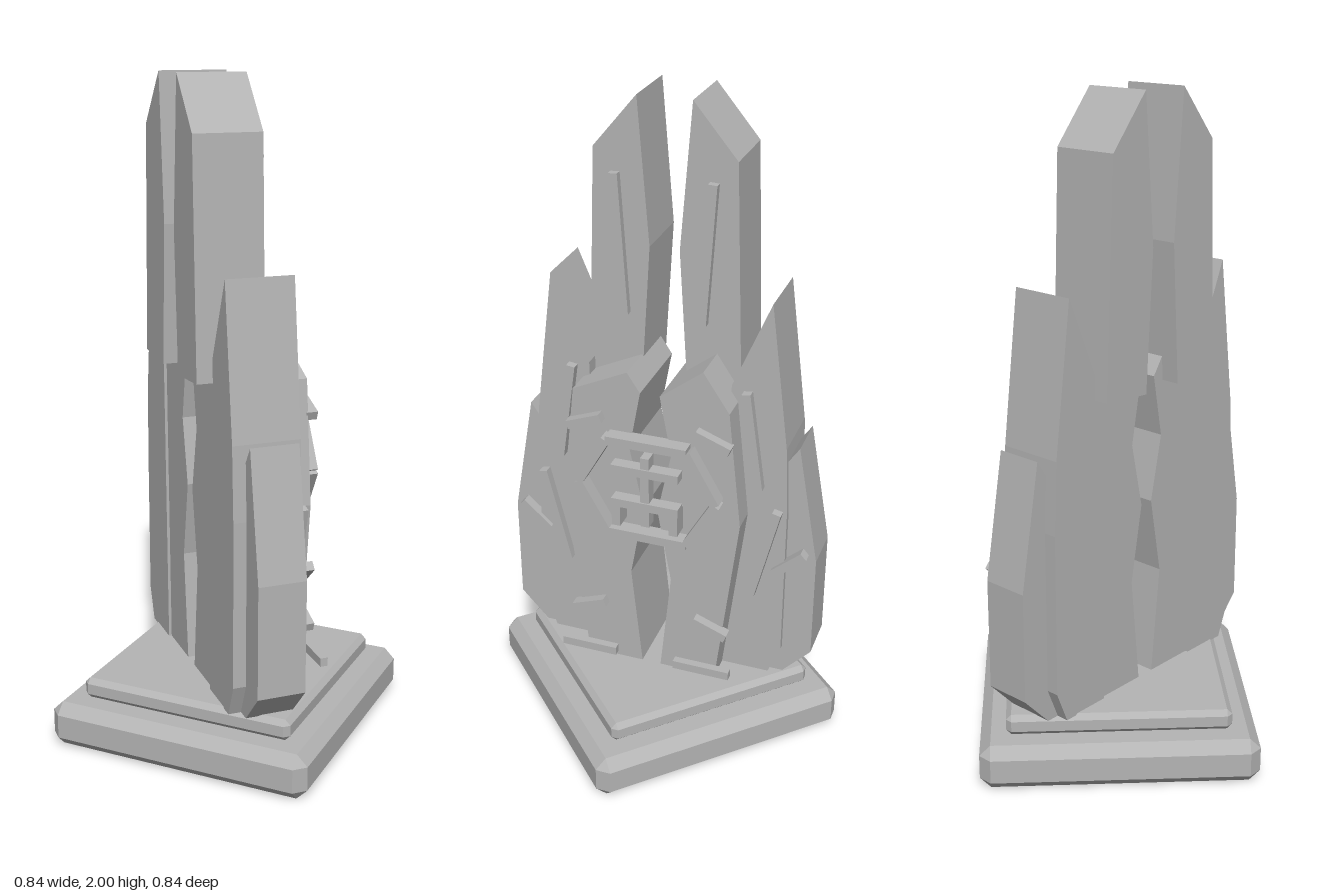
import * as THREE from 'three';
import { ConvexGeometry } from 'three/addons/geometries/ConvexGeometry.js';

const stone = new THREE.MeshStandardMaterial({ color: 0xb4b4b4 });
stone.name = 'grey stone';

function add(parent, name, geometry) {
  const mesh = new THREE.Mesh(geometry, stone);
  mesh.name = name;
  parent.add(mesh);
  return mesh;
}

// Box with every edge chamfered by c, standing from y0 to y1
function chamferedBlock(half, y0, y1, c) {
  const pts = [], hy = (y1 - y0) / 2, my = (y0 + y1) / 2;
  for (const sx of [-1, 1]) for (const sy of [-1, 1]) for (const sz of [-1, 1]) {
    for (let k = 0; k < 3; k++) {
      pts.push(new THREE.Vector3(
        sx * (half - (k === 0 ? 0 : c)),
        my + sy * (hy - (k === 1 ? 0 : c)),
        sz * (half - (k === 2 ? 0 : c))));
    }
  }
  return new ConvexGeometry(pts);
}

// Upright slab: outline in x,y, thickness from z0 to z1
function slab(points, z0, z1, side = 1) {
  const shape = new THREE.Shape(points.map(([x, y]) => new THREE.Vector2(side * x, y)));
  const geometry = new THREE.ExtrudeGeometry(shape, { depth: z1 - z0, bevelEnabled: false });
  return geometry.translate(0, 0, z0);
}

// Raised bar running between two points on the face
function bar(parent, name, a, b, z0, z1, width = 0.027) {
  const dx = b[0] - a[0], dy = b[1] - a[1];
  const mesh = add(parent, name, new THREE.BoxGeometry(Math.hypot(dx, dy), width, z1 - z0));
  mesh.position.set((a[0] + b[0]) / 2, (a[1] + b[1]) / 2, (z0 + z1) / 2);
  mesh.rotation.z = Math.atan2(dy, dx);
}

export function createModel() {
  const model = new THREE.Group();
  model.name = 'monument';

  // Stepped plinth
  add(model, 'lowerPlinth', chamferedBlock(0.417, 0, 0.14, 0.033));
  add(model, 'upperPlinth', chamferedBlock(0.338, 0.14, 0.205, 0.016));

  // Shards stand on the diagonal of the plinth
  const shards = new THREE.Group();
  shards.name = 'shards';
  shards.rotation.y = Math.PI * 0.75;
  model.add(shards);

  const tower = [[0.08, 2], [0.21, 1.845], [0.235, 1.16], [0.07, 1.15], [0.045, 1.57]];
  const middle = [[0.333, 1.47], [0.39, 1.02], [0.4, 0.8], [0.4, 0.3], [0.36, 0.2], [0.2, 0.2], [0.22, 1.2]];
  const outer = [[0.425, 1.02], [0.492, 0.64], [0.492, 0.3], [0.4, 0.2], [0.34, 0.2], [0.34, 0.9], [0.385, 0.96]];
  const inner = [[0.03, 0.2], [0.21, 0.2], [0.28, 0.78], [0.24, 1.15]];
  const innerGap = [[0.03, 1.17], [0.065, 0.98], [0.022, 0.78], [0.065, 0.54]];
  const crowns = { 1: [[0.16, 1.27]], '-1': [[0.07, 1.23]] };

  for (const s of [-1, 1]) {
    const side = s > 0 ? 'right' : 'left';
    add(shards, side + 'Tower', slab(tower, -0.187, 0.018, s));
    add(shards, side + 'MiddleShard', slab(middle, -0.139, 0.064, s));
    add(shards, side + 'OuterShard', slab(outer, -0.1, 0.045, s));
    add(shards, side + 'InnerShard', slab([...inner, ...crowns[s], ...innerGap], -0.13, 0.145, s));

    // Raised strips on each shard: start, end, back and front depth
    const strips = [
      ['towerStrip', [0.145, 1.78], [0.118, 1.36], 0.01, 0.04],
      ['middleStrip', [0.27, 1.19], [0.315, 0.88], 0.055, 0.09],
      ['lowerStrip', [0.375, 0.81], [0.3, 0.5], 0.06, 0.092],
      ['outerStrip', [0.46, 0.67], [0.37, 0.59], 0.04, 0.078],
      ['upperTab', [0.25, 1.04], [0.145, 1.08], 0.14, 0.175],
      ['lowerTab', [0.25, 0.38], [0.145, 0.42], 0.14, 0.175],
      ['footStrip', [0.275, 0.27], [0.095, 0.27], 0.188, 0.212],
    ];
    for (const [name, a, b, z0, z1] of strips) {
      bar(shards, side + name, [s * a[0], a[1]], [s * b[0], b[1]], z0, z1);
    }
  }

  // Six-sided frame
  const cy = 0.862;
  const hex = [[0.215, 0], [0.125, 0.158], [-0.125, 0.158], [-0.215, 0], [-0.125, -0.158], [0.125, -0.158]];
  hex.forEach((p, i) => {
    const q = hex[(i + 1) % 6];
    bar(shards, 'hexFrame', [p[0], cy + p[1]], [q[0], cy + q[1]], 0.14, 0.19, 0.028);
  });

  // Lattice inside the frame
  for (const y of [0.935, 0.82]) bar(shards, 'latticeRail', [-0.105, y], [0.105, y], 0.16, 0.2);
  bar(shards, 'latticePost', [0, 0.985], [0, 0.75], 0.155, 0.195);
  for (const s of [-1, 1]) bar(shards, 'latticeFoot', [s * 0.09, 0.82], [s * 0.09, 0.74], 0.14, 0.2);

  return model;
}
